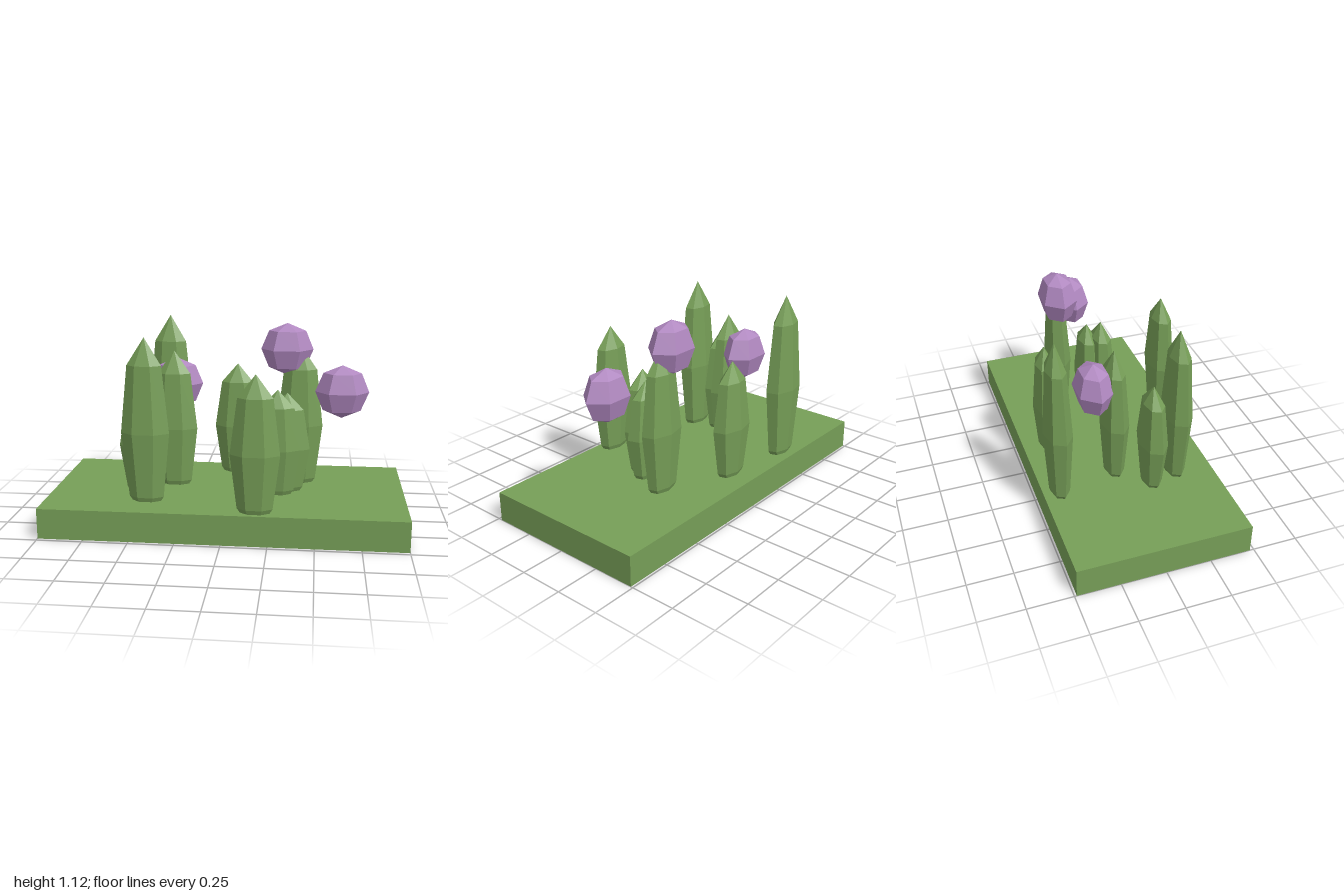
import * as THREE from 'three';

const green = new THREE.MeshStandardMaterial({ color: 0x769e57, flatShading: true });
const purple = new THREE.MeshStandardMaterial({ color: 0xb088c0, flatShading: true });
const GROUND = 0.17;

// Seven-sided pointed leaf, flattened front to back, rooted in the ground slab
function makeLeaf(x, z, apex) {
  const h = apex - GROUND;
  const profile = [
    [0, -0.02], [0.5, -0.02], [0.72, 0.025], [1, 0.41 * h + 0.015], [0.71, 0.835 * h], [0, h],
  ].map(([r, y]) => new THREE.Vector2(r, y));
  const geometry = new THREE.LatheGeometry(profile, 7, THREE.MathUtils.degToRad(23.1));
  geometry.scale(0.137, 1, 0.077);
  const leaf = new THREE.Mesh(geometry, green);
  leaf.name = 'leaf';
  leaf.position.set(x, GROUND, z);
  return leaf;
}

// Six-sided faceted bloom, flattened front to back
function makeBloom(x, y, z) {
  const bloom = new THREE.Mesh(new THREE.SphereGeometry(0.15, 6, 4), purple);
  bloom.name = 'bloom';
  bloom.scale.z = 0.73;
  bloom.position.set(x, y, z);
  return bloom;
}

export function createModel() {
  const model = new THREE.Group();
  model.name = 'flowerPatch';

  // Ground slab
  const ground = new THREE.Mesh(new THREE.BoxGeometry(2, GROUND, 0.965), green);
  ground.name = 'ground';
  ground.position.set(0, GROUND / 2, -0.005);
  model.add(ground);

  // Leaves: x, z, height of the tip
  const leaves = [
    [0.18, 0.41, 0.92], [-0.43, 0.265, 1.08], [-0.475, 0.11, 0.8], [0.28, 0.075, 0.77],
    [0.33, 0.005, 0.74], [-0.32, -0.055, 0.96], [0.4, -0.165, 0.98], [0.02, -0.34, 0.84],
    [-0.395, -0.395, 1.12],
  ];
  leaves.forEach((l) => model.add(makeLeaf(...l)));

  // Blooms: x, y, z
  const blooms = [[0.32, 0.96, -0.17], [0.635, 0.75, -0.005], [-0.32, 0.75, -0.17]];
  blooms.forEach((b) => model.add(makeBloom(...b)));

  return model;
}
